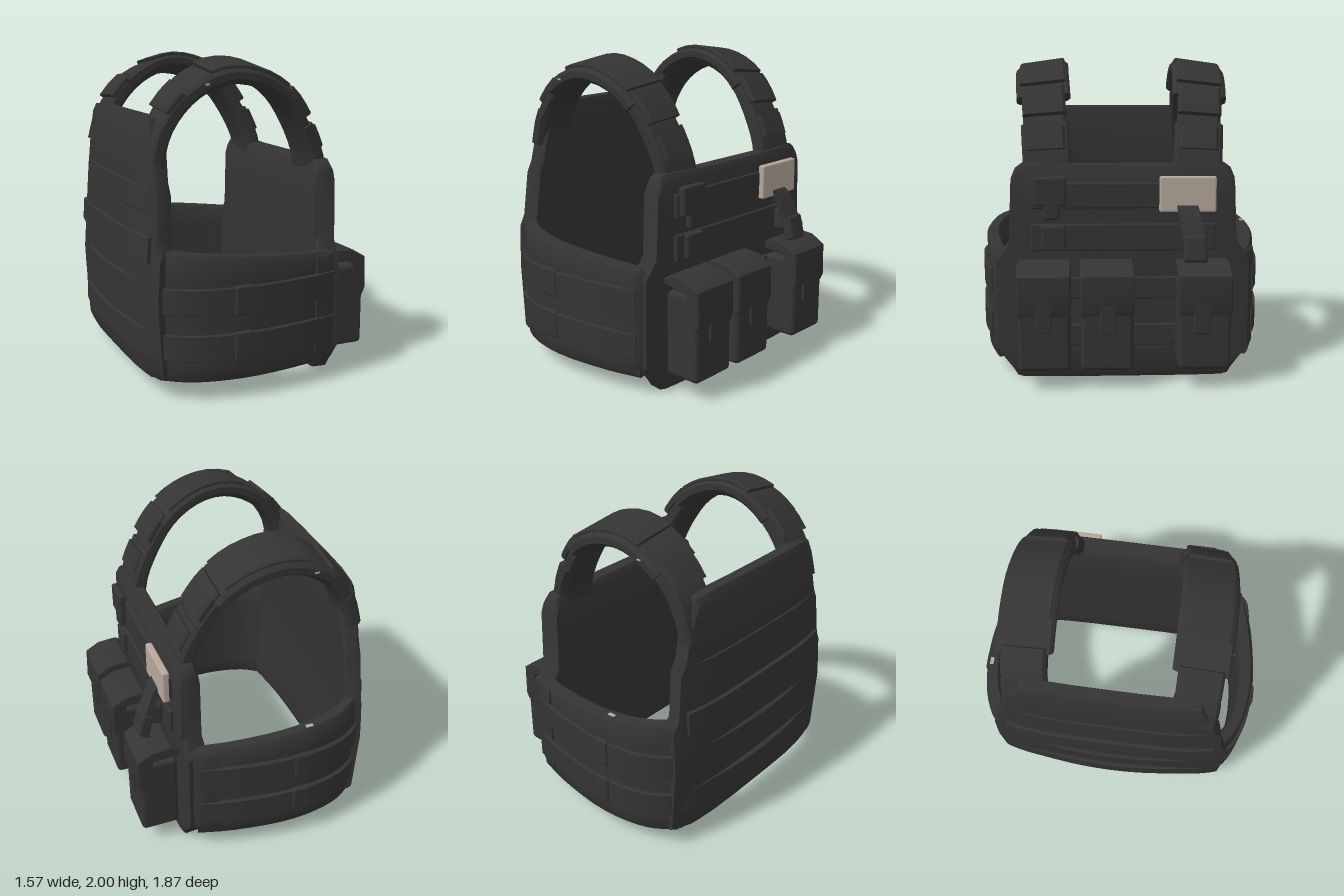
import * as THREE from 'three';
import { toCreasedNormals } from 'three/addons/utils/BufferGeometryUtils.js';
import { RoundedBoxGeometry } from 'three/addons/geometries/RoundedBoxGeometry.js';

const fabric = new THREE.MeshStandardMaterial({ color: 0x343434 });
fabric.name = 'charcoal fabric';
const tan = new THREE.MeshStandardMaterial({ color: 0xb7a89b });
tan.name = 'tan patch';

// Closed solid through a list of equally long rings, capped at both ends
function loft(rings) {
  const n = rings[0].length, pos = rings.flat().flatMap((p) => [p.x, p.y, p.z]), idx = [];
  for (let i = 0; i < rings.length - 1; i++) {
    for (let j = 0; j < n; j++) {
      const a = i * n + j, b = i * n + (j + 1) % n;
      idx.push(a, b, a + n, b, b + n, a + n);
    }
  }
  const last = (rings.length - 1) * n;
  for (let j = 0; j < n / 2 - 1; j++) {
    const k = n - 1 - j;
    idx.push(j, k, j + 1, j + 1, k, k - 1);
    idx.push(last + j, last + j + 1, last + k, last + j + 1, last + k - 1, last + k);
  }
  // turn the faces outward if the enclosed volume is negative
  const v = (i) => new THREE.Vector3().fromArray(pos, i * 3);
  let volume = 0;
  for (let i = 0; i < idx.length; i += 3) volume += v(idx[i]).dot(v(idx[i + 1]).cross(v(idx[i + 2])));
  if (volume < 0) idx.reverse();
  const g = new THREE.BufferGeometry();
  g.setAttribute('position', new THREE.Float32BufferAttribute(pos, 3));
  g.setIndex(idx);
  return toCreasedNormals(g, 0.7);
}

// Upright padded wall; each column is [x, z, bottom, top]
function wall(cols, thick, lean = () => 0) {
  const rows = [0, 0.03, 0.15, 0.35, 0.6, 0.8, 0.97, 1];
  return loft(cols.map(([x, z, y0, y1], i) => {
    const a = cols[Math.max(i - 1, 0)], b = cols[Math.min(i + 1, cols.length - 1)];
    const d = new THREE.Vector2(b[0] - a[0], b[1] - a[1]).normalize();
    const point = (r, side) => {
      const edge = r === 0 || r === 1 ? 0.65 : 1;
      const o = side * edge * thick / 2, y = y0 + (y1 - y0) * r;
      return new THREE.Vector3(x - d.y * o + lean(y), y, z + d.x * o);
    };
    return [...rows.map((r) => point(r, 1)), ...[...rows].reverse().map((r) => point(r, -1))];
  }));
}

// Webbing band of constant height along a smooth plan path of [x, z]
function band(points, y, h, thick, lean) {
  const curve = new THREE.CatmullRomCurve3(points.map(([x, z]) => new THREE.Vector3(x, 0, z)));
  return wall(curve.getPoints(points.length * 4).map((p) => [p.x, p.z, y - h / 2, y + h / 2]), thick, lean);
}

const mirrorColumns = (half) => [...half.slice(1).reverse().map(([z, ...r]) => [-z, ...r]), ...half];
const backLean = (y) => (y > 0.6 ? (y - 0.6) * 0.07 : (0.6 - y) * 0.06);
const backX = (z) => -0.715 + 0.06 * (z / 0.75) ** 4;
const frontX = (z) => 0.457 - 0.035 * (z / 0.8) ** 4;

// Shoulder arch from the back panel over to the front panel
const arch = new THREE.CatmullRomCurve3([
  [-0.65, 1.4], [-0.59, 1.6], [-0.465, 1.77], [-0.31, 1.875], [-0.15, 1.912],
  [0.04, 1.87], [0.195, 1.765], [0.315, 1.6], [0.41, 1.4], [0.44, 1.25],
].map(([x, y]) => new THREE.Vector3(x, y, 0)));

function strapPiece(t0, t1, width, thick, offset, side) {
  const rings = [], steps = Math.max(2, Math.round((t1 - t0) * 24));
  for (let i = 0; i <= steps; i++) {
    const t = t0 + (t1 - t0) * i / steps;
    const p = arch.getPointAt(t), d = arch.getTangentAt(t);
    const centre = 0.515 - 0.055 * Math.max(0, (t - 0.5) * 2);
    const w = width / 2, h = thick / 2, c = Math.min(0.02, h * 0.6);
    const outline = [[-w + c, h], [w - c, h], [w, h - c], [w, c - h], [w - c, -h], [c - w, -h], [-w, c - h], [-w, h - c]];
    rings.push(outline.map(([u, n]) => new THREE.Vector3(
      p.x - d.y * (n + offset),
      p.y + d.x * (n + offset) - (u + 0.08) * 0.14 * Math.max(0, d.x),
      side * (centre + u))));
  }
  return loft(rings);
}

export function createModel() {
  const model = new THREE.Group();
  const add = (name, geometry, parent = model, material = fabric) => {
    const m = new THREE.Mesh(geometry, material);
    m.name = name;
    parent.add(m);
    return m;
  };
  const box = (name, parent, [x, y, z], [sx, sy, sz], r = 0.015, material = fabric) => {
    const m = add(name, new RoundedBoxGeometry(sx, sy, sz, 2, Math.min(r, sx / 2.1, sy / 2.1)), parent, material);
    m.position.set(x, y, z);
    return m;
  };

  // Front and back carrier panels: [z, bottom, top]
  const frontHalf = [[0, 0, 1.35], [0.3, 0, 1.35], [0.5, 0, 1.36], [0.62, 0, 1.36], [0.66, 0.01, 1.33],
    [0.685, 0.05, 1.27], [0.7, 0.07, 0.88], [0.78, 0.17, 0.76]];
  add('frontPanel', wall(mirrorColumns(frontHalf).map(([z, a, b]) => [frontX(z), z, a, b]), 0.13));
  const backHalf = [[0, 0.1, 1.66], [0.2, 0.1, 1.66], [0.4, 0.1, 1.66], [0.54, 0.1, 1.65], [0.61, 0.1, 1.5],
    [0.65, 0.11, 1.32], [0.69, 0.11, 1.24], [0.72, 0.12, 0.95], [0.76, 0.13, 0.88]];
  add('backPanel', wall(mirrorColumns(backHalf).map(([z, a, b]) => [backX(z), z, a, b]), 0.105, backLean));

  // Side wraps, built once per side
  const sidePath = [[0.43, 0.755], [0.2, 0.815], [-0.2, 0.858], [-0.5, 0.805], [-0.66, 0.7]];
  const sideCurve = new THREE.CatmullRomCurve3(sidePath.map(([x, z]) => new THREE.Vector3(x, 0, z)));
  for (const s of [1, -1]) {
    const cols = sideCurve.getPoints(16).map((p) => [p.x, s * p.z, 0.115, 0.845 - p.x * 0.09]);
    add(s > 0 ? 'leftSideWrap' : 'rightSideWrap', wall(cols, 0.09));
    // Padded corners where the wraps meet the front
    add('frontCornerPad', band([[0.3, s * 0.83], [0.42, s * 0.8], [0.48, s * 0.72]], 0.49, 0.62, 0.04));
    for (const y of [0.33, 0.61]) box('sideLoop', model, [-0.22, y, s * 0.915], [0.12, 0.18, 0.04]);
  }
  box('wrapTag', model, [-0.275, 0.869, -0.865], [0.05, 0.009, 0.025], 0.003, tan);

  // Webbing running around the sides and back
  const half = [[0.43, 0.81], [0.2, 0.87], [-0.2, 0.908], [-0.5, 0.86], [-0.67, 0.74], [-0.745, 0.4]];
  const loop = [...half, [-0.772, 0], ...[...half].reverse().map(([x, z]) => [x, -z])];
  for (const y of [0.33, 0.61]) add('wrapWebbing', band(loop, y, 0.16, 0.035));
  const backPath = [-0.68, -0.45, 0, 0.45, 0.68].map((z) => [backX(z) - 0.058, z]);
  add('backWebbing', band(backPath, 0.9, 0.15, 0.035, backLean));
  add('backWebbing', band(backPath.map(([x, z]) => [x + 0.006, z * 0.94]), 1.19, 0.15, 0.025, backLean));

  // Webbing rows on the front
  for (const [y, w, h] of [[0.28, 1.2, 0.14], [0.58, 1.2, 0.14], [0.9, 1.14, 0.17], [1.16, 1.14, 0.16]]) {
    box('frontWebbing', model, [0.522, y, 0], [0.03, h, w], 0.012);
  }
  box('radioLoop', model, [0.55, 1.19, 0.45], [0.05, 0.18, 0.2]);
  box('radioLoopTail', model, [0.55, 1.08, 0.44], [0.045, 0.13, 0.1]);
  box('lowerLoop', model, [0.54, 0.9, 0.43], [0.05, 0.16, 0.15]);

  // Shoulder straps with pads and buckles
  for (const s of [1, -1]) {
    const strap = new THREE.Group();
    strap.name = s > 0 ? 'leftShoulderStrap' : 'rightShoulderStrap';
    model.add(strap);
    add('strap', strapPiece(0, 1, 0.27, 0.09, 0, s), strap);
    add('shoulderPad', strapPiece(0.25, 0.69, 0.34, 0.08, 0.015, s), strap);
    add('padCover', strapPiece(0.36, 0.64, 0.29, 0.03, 0.064, s), strap);
    add('rearBuckle', strapPiece(0.17, 0.27, 0.27, 0.06, 0.045, s), strap);
    add('rearAnchor', strapPiece(0, 0.13, 0.28, 0.09, 0.005, s), strap);
    add('upperBuckle', strapPiece(0.66, 0.77, 0.27, 0.06, 0.055, s), strap);
    add('lowerBuckle', strapPiece(0.82, 0.9, 0.24, 0.055, 0.055, s), strap);
    add('frontAnchor', strapPiece(0.8, 0.97, 0.3, 0.09, 0.012, s), strap);
    box('strapTag', strap, [-0.35, 1.845, s * 0.683], [0.03, 0.012, 0.009], 0.003, tan);
  }

  // Magazine pouches with an arched flap and closing tab
  for (const [z, tabZ, tabY] of [[0.487, 0.49, 0.45], [0.105, 0.1, 0.44], [-0.485, -0.465, 0.44]]) {
    const pouch = new THREE.Group();
    pouch.name = 'pouch';
    model.add(pouch);
    box('pouchBody', pouch, [0.64, 0.39, z], [0.25, 0.54, 0.32], 0.03);
    const flap = new THREE.Shape([[0.51, 0.73], [0.56, 0.762], [0.68, 0.75], [0.765, 0.7], [0.772, 0.5],
      [0.755, 0.46], [0.72, 0.46], [0.69, 0.64], [0.68, 0.69], [0.51, 0.7]].map(([x, y]) => new THREE.Vector2(x, y)));
    const g = new THREE.ExtrudeGeometry(flap, { depth: 0.31, bevelEnabled: true, bevelSize: 0.008, bevelThickness: 0.008, bevelSegments: 1 });
    add('pouchFlap', toCreasedNormals(g, 0.6), pouch).position.z = z - 0.155;
    box('pouchTab', pouch, [0.768, tabY, tabZ], [0.025, 0.18, 0.1], 0.01);
  }

  // Name patch and the hanging retention strap below it
  box('patch', model, [0.548, 1.17, -0.395], [0.045, 0.22, 0.35], 0.012, tan);
  const hanging = [[0.545, 1.1, -0.39], [0.585, 1.06, -0.4], [0.635, 0.94, -0.42], [0.675, 0.86, -0.435], [0.665, 0.77, -0.44]];
  add('hangingStrap', loft(hanging.map(([x, y, z]) => [[-0.02, -0.065], [0.02, -0.065], [0.02, 0.065], [-0.02, 0.065]]
    .map(([u, w]) => new THREE.Vector3(x + u, y + u * 0.4, z + w)))));
  box('hangingBuckle', model, [0.665, 0.85, -0.43], [0.075, 0.16, 0.14], 0.02).rotation.z = 0.25;
  box('hangingClip', model, [0.585, 0.9, -0.42], [0.08, 0.14, 0.1], 0.02);

  return model;
}
